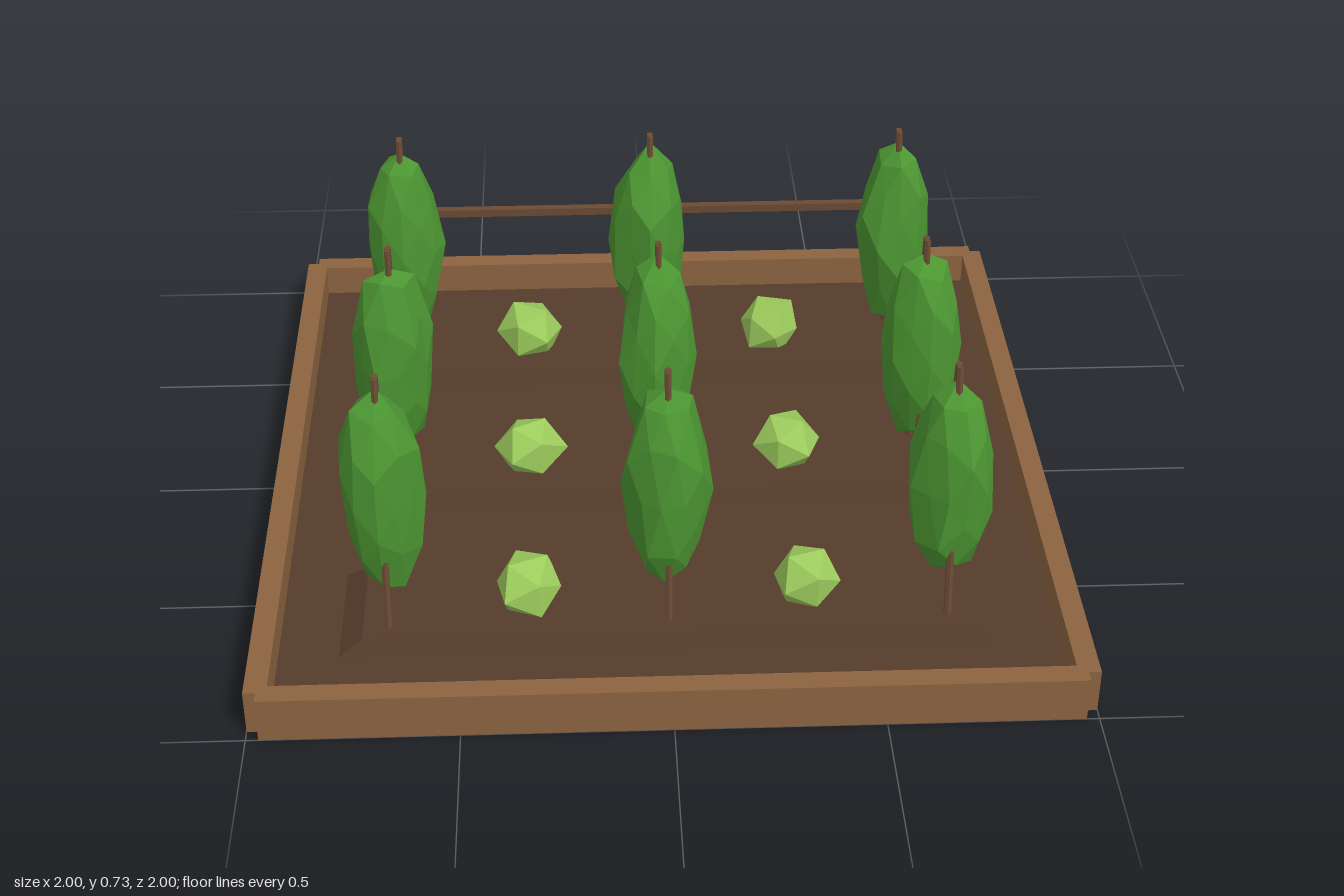
import * as THREE from 'three';
import { mergeVertices } from 'three/addons/utils/BufferGeometryUtils.js';

const mat = (color) => new THREE.MeshStandardMaterial({ color, flatShading: true });
const wood = mat(0x8b6340), soil = mat(0x553c2a), stake = mat(0x6b4a33);
const leaf = mat(0x4c9632), sprout = mat(0x9ccb5c);

// Small seeded generator for the irregular foliage
let seed = 7;
const rand = () => {
  seed = (seed * 16807) % 2147483647;
  return seed / 2147483647;
};

function add(parent, name, geometry, material, x = 0, y = 0, z = 0) {
  const mesh = new THREE.Mesh(geometry, material);
  mesh.name = name;
  mesh.position.set(x, y, z);
  parent.add(mesh);
  return mesh;
}

// Faceted ball with every corner nudged, stretched to the given half sizes
function foliage(detail, rx, ry, rz, jitter) {
  let g = new THREE.IcosahedronGeometry(1, detail);
  g.deleteAttribute('normal');
  g.deleteAttribute('uv');
  g = mergeVertices(g, 1e-3);
  g.rotateY(rand() * Math.PI * 2);
  const p = g.attributes.position;
  for (let i = 0; i < p.count; i++) {
    const k = 1 + (rand() - 0.5) * jitter;
    p.setXYZ(i, p.getX(i) * rx * k, p.getY(i) * ry * (1 + (rand() - 0.5) * jitter * 0.6), p.getZ(i) * rz * k);
  }
  g.computeVertexNormals();
  return g;
}

// Raised bed: a box whose top is drawn in to make sloping sides
function moundGeometry() {
  const g = new THREE.BoxGeometry(1.6, 0.04, 0.324);
  const p = g.attributes.position;
  for (let i = 0; i < p.count; i++) {
    if (p.getY(i) > 0) {
      p.setX(i, Math.sign(p.getX(i)) * 0.742);
      p.setZ(i, Math.sign(p.getZ(i)) * 0.14);
    }
  }
  g.computeVertexNormals();
  return g;
}

// Climbing plant on two stakes that lean together at the top
function climber(x, z) {
  const group = new THREE.Group();
  group.name = 'climbingPlant';
  group.position.set(x, 0, z);
  const foot = 0.095, tip = 0.007, low = 0.05, high = 0.73;
  const length = Math.hypot(foot - tip, high - low);
  for (const s of [-1, 1]) {
    const leg = add(group, 'stake', new THREE.CylinderGeometry(0.009, 0.01, length, 6), stake,
      0, (low + high) / 2, s * (foot + tip) / 2);
    leg.rotation.x = -s * Math.atan2(foot - tip, high - low);
  }
  add(group, 'foliage', foliage(1, 0.104, 0.288, 0.104, 0.24), leaf, 0, 0.405, 0);
  return group;
}

export function createModel() {
  const model = new THREE.Group();
  model.name = 'vegetableGarden';

  // Ground and plank frame with notched corners
  add(model, 'soil', new THREE.BoxGeometry(1.91, 0.025, 1.91), soil, 0, 0.0185, 0);
  for (const s of [-1, 1]) {
    add(model, 'framePlank', new THREE.BoxGeometry(1.94, 0.117, 0.055), wood, 0, 0.0585, s * 0.9725);
    add(model, 'framePlank', new THREE.BoxGeometry(0.055, 0.117, 1.94), wood, s * 0.9725, 0.0585, 0);
  }

  // Three beds, each with three climbers and two low plants between them
  for (const z of [-0.585, 0, 0.585]) {
    add(model, 'raisedBed', moundGeometry(), soil, 0, 0.05, z);
    for (const x of [-0.68, 0, 0.68]) model.add(climber(x, z));
    for (const x of [-0.34, 0.34]) {
      add(model, 'lowPlant', foliage(0, 0.09, 0.085, 0.09, 0.25), sprout, x, 0.118, z);
    }
  }

  // Long horizontal rail behind the back row
  add(model, 'rail', new THREE.BoxGeometry(1.36, 0.022, 0.022), stake, 0, 0.392, -0.78);
  return model;
}
